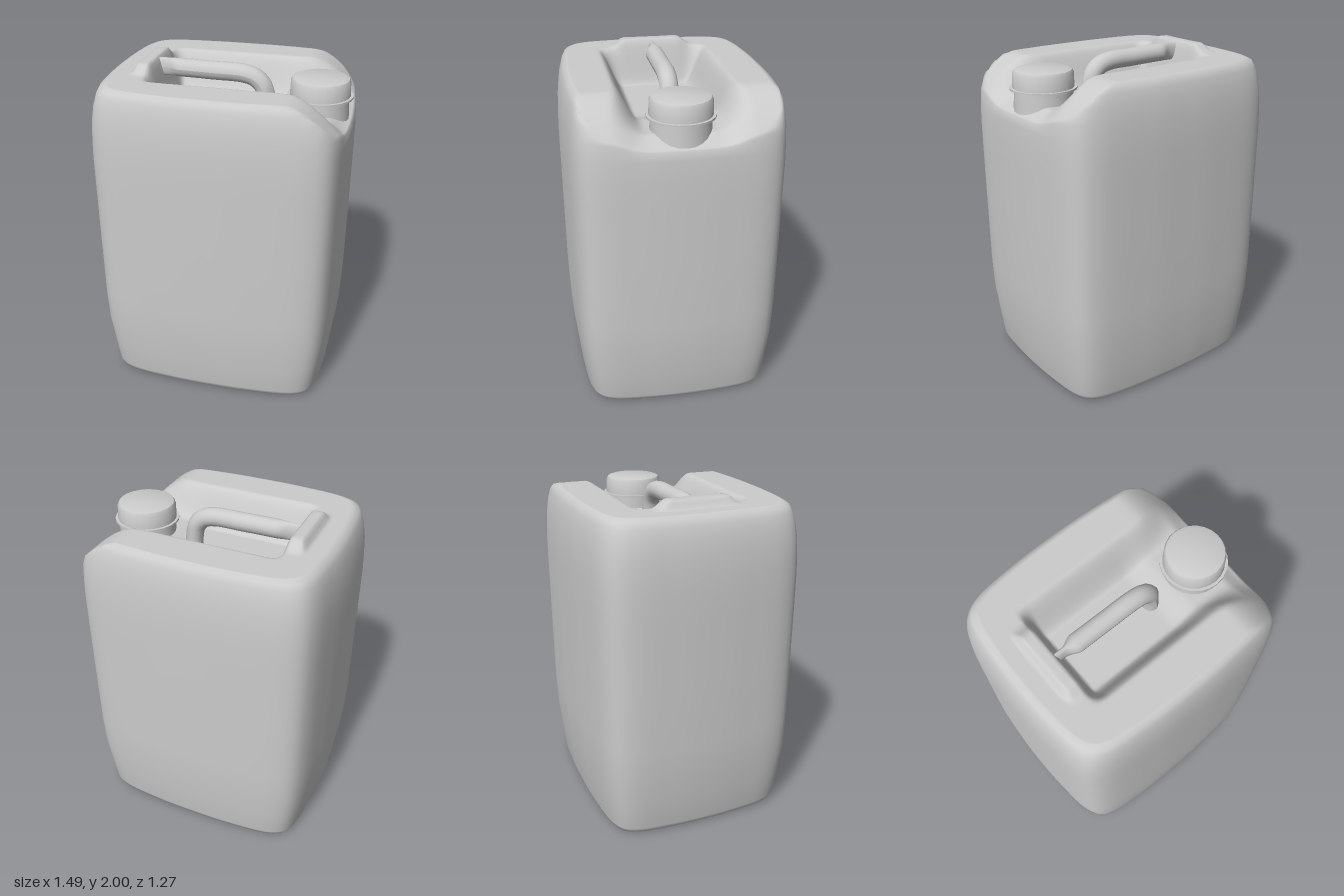
import * as THREE from 'three';
import { toCreasedNormals } from 'three/addons/utils/BufferGeometryUtils.js';

const material = new THREE.MeshStandardMaterial({ color: 0xcccccc, side: THREE.DoubleSide });
const smooth = THREE.MathUtils.smoothstep;
const lerp = THREE.MathUtils.lerp;

// Plan outline: a bulged rectangle with round corners, one quadrant mirrored to four
function bodyOutline(count) {
  const q = [[0.745, 0], [0.738, 0.22], [0.71, 0.46], [0.668, 0.545], [0.58, 0.593], [0.25, 0.63], [0, 0.635]];
  const half = [...q, ...q.slice(0, -1).reverse().map(([x, z]) => [-x, z])];
  const loop = [...half, ...half.slice(1, -1).reverse().map(([x, z]) => [x, -z])];
  const curve = new THREE.CatmullRomCurve3(loop.map(([x, z]) => new THREE.Vector3(x, 0, z)), true);
  return curve.getSpacedPoints(count).slice(0, count);
}

// Height of the top: plateau, sloping spout end, handle recess and raised rear tab
function topHeight(x, z) {
  const az = Math.abs(z);
  const t = Math.max(0, x - 0.42);
  const plateau = 1.95 - 0.23 * Math.pow(t / 0.31, 1.7);
  const tab = 0.05 * smooth(x, -0.55, -0.51) * (1 - smooth(az, 0.17, 0.26));
  const flare = 0.05 * smooth(x, 0.35, 0.65);
  const recess = smooth(x, -0.45, -0.36) * (1 - smooth(az, 0.2, 0.35 + flare));
  const floor = lerp(1.72, 1.76, smooth(x, 0.2, 0.4)) - 0.06 * smooth(x, 0.6, 0.74);
  return lerp(plateau + tab, Math.min(floor, plateau), recess);
}

// Rings from the middle of the base, up the walls and in to the middle of the top
function bodyGeometry() {
  const count = 160, inner = 52;
  const outline = bodyOutline(count);
  const rings = [
    [0, 0.03], [0.4, 0.03], [0.8, 0.015], [0.87, 0.003], [0.905, 0.015], [0.93, 0.05],
    [0.957, 0.22], [0.985, 0.4], [0.995, 0.6], [0.998, 1], [1, 1.4], [1, 1.55], [0.995, 1.65],
    [0.987, 1.75], [0.968, 1.84], [0.945, 1.9], [0.92, 1.935], [0.88, 1.95],
  ];
  for (let k = 1; k <= inner; k++) rings.push([0.88 * (1 - k / inner), 3]);
  const position = [], index = [];
  rings.forEach(([s, y], i) => {
    outline.forEach((p, j) => {
      const x = p.x * s, z = p.z * s;
      position.push(x, y > 1.5 ? Math.min(y, topHeight(x, z)) : y, z);
      if (i === rings.length - 1) return;
      const a = i * count + j, b = i * count + (j + 1) % count;
      index.push(a, a + count, b, b, a + count, b + count);
    });
  });
  const g = new THREE.BufferGeometry();
  g.setAttribute('position', new THREE.Float32BufferAttribute(position, 3));
  g.setIndex(index);
  g.computeVertexNormals();
  return g;
}

// Round grip that bends down at the spout end and pinches to a fin at both ends
function handleGeometry() {
  const path = new THREE.CatmullRomCurve3([
    [-0.47, 1.935], [-0.3, 1.937], [-0.1, 1.934], [0.08, 1.93], [0.15, 1.91], [0.2, 1.86], [0.22, 1.79], [0.225, 1.68],
  ].map(([x, y]) => new THREE.Vector3(x, y, 0)));
  const g = new THREE.TubeGeometry(path, 48, 0.055, 16, false);
  const p = g.attributes.position;
  for (let i = 0; i < p.count; i++) {
    const x = p.getX(i);
    const pinch = smooth(x, -0.39, -0.3) * (1 - smooth(x, 0.22, 0.29));
    p.setZ(i, p.getZ(i) * lerp(0.36, 1, pinch));
  }
  g.computeVertexNormals();
  return g;
}

const lathe = (profile, segments) => toCreasedNormals(
  new THREE.LatheGeometry(profile.map(([r, y]) => new THREE.Vector2(r, y)), segments), 0.6);

export function createModel() {
  const model = new THREE.Group();
  const add = (name, geometry, x = 0) => {
    const mesh = new THREE.Mesh(geometry, material);
    mesh.name = name;
    mesh.position.x = x;
    model.add(mesh);
  };
  add('body', bodyGeometry());
  add('handle', handleGeometry());

  // Spout with its screw cap
  const spoutX = 0.537;
  add('neck', lathe([[0.178, 1.66], [0.172, 1.76], [0.168, 1.83]], 24), spoutX);
  add('capFlange', lathe([[0, 1.83], [0.193, 1.83], [0.193, 1.842], [0.17, 1.842]], 24), spoutX);
  add('cap', lathe([[0.177, 1.84], [0.174, 1.925], [0.165, 1.94], [0.145, 1.947], [0, 1.95]], 24), spoutX);
  return model;
}
